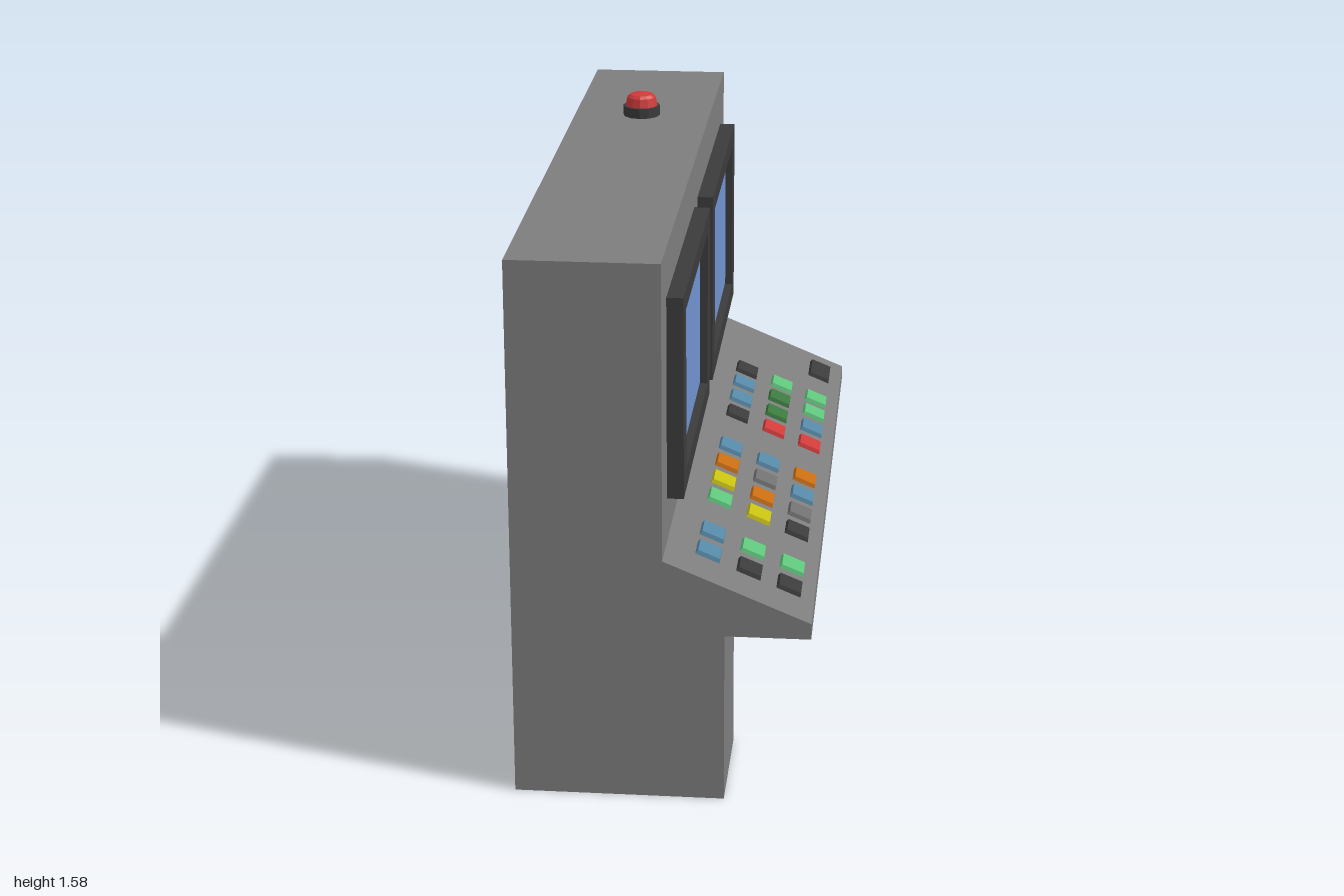
import * as THREE from 'three';

const COLORS = {
  body: 0x7d7d7d, dark: 0x3b3b3b, screen: 0x7093d0, blue: 0x5588a6, green: 0x5fc47c,
  darkGreen: 0x3b793e, red: 0xcf3a3a, orange: 0xc86c10, yellow: 0xc6bf10, grey: 0x707070,
};

export function createModel() {
  const mats = {};
  for (const [name, color] of Object.entries(COLORS)) {
    mats[name] = new THREE.MeshStandardMaterial({ color, flatShading: true });
    mats[name].name = name;
  }
  const model = new THREE.Group();
  model.name = 'controlConsole';

  const add = (parent, name, geometry, mat, x = 0, y = 0, z = 0) => {
    const mesh = new THREE.Mesh(geometry, mats[mat]);
    mesh.name = name;
    mesh.position.set(x, y, z);
    parent.add(mesh);
    return mesh;
  };

  // Cabinet: side profile extruded along z, with the desk sloping towards +x
  const wallX = 0.005, deskTop = 0.695, edgeX = 0.4, edgeY = 0.53, under = 0.485;
  const profile = new THREE.Shape([
    [-0.4, 0], [wallX, 0], [wallX, under], [edgeX, under], [edgeX, edgeY],
    [wallX, deskTop], [wallX, 1.515], [-0.4, 1.515],
  ].map(([x, y]) => new THREE.Vector2(x, y)));
  const cabinet = new THREE.ExtrudeGeometry(profile, { depth: 2, bevelEnabled: false });
  cabinet.translate(0, 0, -1);
  add(model, 'cabinet', cabinet, 'body');

  // Legs either side of the knee recess
  const legDepth = 0.17 - wallX;
  for (const s of [-1, 1]) {
    add(model, s > 0 ? 'frontLeg' : 'backLeg', new THREE.BoxGeometry(legDepth, under, 0.337),
      'body', wallX + legDepth / 2, under / 2, s * 0.8315);
  }

  // Monitors: open frame around a recessed screen
  const rect = (T, w, h) => new T([
    new THREE.Vector2(-w / 2, -h / 2), new THREE.Vector2(w / 2, -h / 2),
    new THREE.Vector2(w / 2, h / 2), new THREE.Vector2(-w / 2, h / 2),
  ]);
  const frameShape = rect(THREE.Shape, 0.816, 0.562);
  frameShape.holes.push(rect(THREE.Path, 0.668, 0.454));
  const frame = new THREE.ExtrudeGeometry(frameShape, { depth: 0.045, bevelEnabled: false });
  for (const s of [-1, 1]) {
    const monitor = new THREE.Group();
    monitor.name = s > 0 ? 'leftMonitor' : 'rightMonitor';
    monitor.position.set(wallX, 1.1, s * 0.459);
    monitor.rotation.y = Math.PI / 2;
    add(monitor, 'monitorFrame', frame, 'dark');
    add(monitor, 'monitorBack', new THREE.BoxGeometry(0.668, 0.454, 0.018), 'dark', 0, 0, 0.009);
    add(monitor, 'screen', new THREE.BoxGeometry(0.652, 0.438, 0.006), 'screen', 0, 0, 0.021);
    model.add(monitor);
  }

  // Key with a slightly tapered top
  const keyGeometry = (length) => {
    const g = new THREE.BoxGeometry(0.072, 0.014, length);
    const p = g.attributes.position;
    for (let i = 0; i < p.count; i++) {
      if (p.getY(i) > 0) {
        p.setX(i, p.getX(i) - Math.sign(p.getX(i)) * 0.004);
        p.setZ(i, p.getZ(i) - Math.sign(p.getZ(i)) * 0.004);
      }
    }
    g.computeVertexNormals();
    return g;
  };

  // Keys on the slope, each column listed from the wall outwards
  const slope = (edgeY - deskTop) / (edgeX - wallX);
  const rows = [0.115, 0.225, 0.333];
  const columns = [
    [-0.6, 'dark', 'green', 'green'],
    [-0.475, 'blue', 'darkGreen', 'green'],
    [-0.343, 'blue', 'darkGreen', 'blue'],
    [-0.21, 'dark', 'red', 'red'],
    [0.062, 'blue', 'blue', 'orange'],
    [0.194, 'orange', 'grey', 'blue'],
    [0.325, 'yellow', 'orange', 'grey'],
    [0.457, 'green', 'yellow', 'dark'],
    [0.698, 'blue', 'green', 'green'],
    [0.828, 'blue', 'dark', 'dark'],
  ];
  const keys = new THREE.Group();
  keys.name = 'keys';
  model.add(keys);
  const addKey = (name, geometry, mat, x, z) => {
    const key = add(keys, name, geometry, mat, x, deskTop + (x - wallX) * slope + 0.005, z);
    key.rotation.z = Math.atan(slope);
  };
  const key = keyGeometry(0.082);
  for (const [z, ...colors] of columns) {
    colors.forEach((mat, i) => addKey('key', key, mat, rows[i], z));
  }
  addKey('longKey', keyGeometry(0.13), 'dark', rows[2], -0.855);

  // Warning lamp on the roof
  add(model, 'lampBase', new THREE.CylinderGeometry(0.055, 0.055, 0.03, 12), 'dark', -0.2, 1.53, -0.457);
  const dome = [[0.048, 0], [0.043, 0.026], [0.034, 0.034], [0, 0.039]];
  add(model, 'lampDome', new THREE.LatheGeometry(dome.map(([r, y]) => new THREE.Vector2(r, y)), 12),
    'red', -0.2, 1.545, -0.457);

  return model;
}
